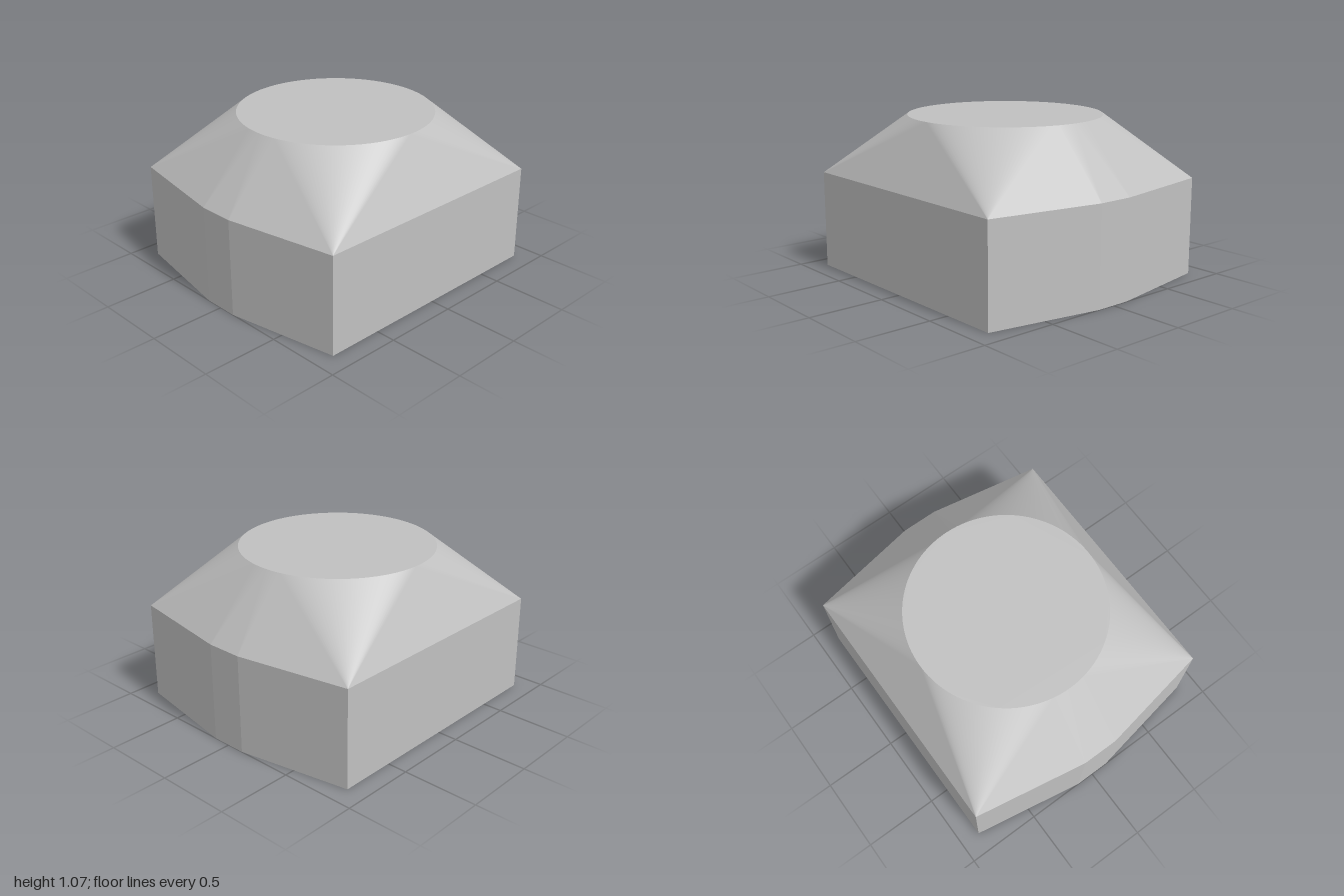
import * as THREE from 'three';

const BASE_TOP = 0.65, TOP = 1.065, RADIUS = 0.64, ARC_STEPS = 24;
const RISE = TOP - BASE_TOP;

// Footprint corners as (x, z)
const corners = [
  [1, 0.12], [0.868, 0.868], [-0.868, 0.868], [-1, 0.12],
  [-1, -0.12], [-0.868, -0.868], [0.868, -0.868], [1, -0.12],
].map(([x, z]) => new THREE.Vector2(x, z));

const at = (p, y) => new THREE.Vector3(p.x, y, p.y);
const dir = (a) => new THREE.Vector2(Math.cos(a), Math.sin(a));
const rim = (a) => at(dir(a).multiplyScalar(RADIUS), TOP);

// Outward angle of the footprint edge that starts at corner i
function edgeAngle(i) {
  const p = corners[(i + 8) % 8], q = corners[(i + 9) % 8];
  return Math.atan2(p.x - q.x, q.y - p.y);
}

// Normal of the plane through a corner that touches the rim at angle a
function slopeNormal(corner, a) {
  const n = dir(a);
  return new THREE.Vector3(n.x * RISE, n.dot(corner) - RADIUS, n.y * RISE).normalize();
}

function fromTriangles(points, normals) {
  const g = new THREE.BufferGeometry().setFromPoints(points);
  if (normals) g.setAttribute('normal', new THREE.Float32BufferAttribute(normals.flatMap((n) => n.toArray()), 3));
  else g.computeVertexNormals();
  return g;
}

export function createModel() {
  const group = new THREE.Group();
  group.name = 'taperedBlock';
  const grey = new THREE.MeshStandardMaterial({ color: 0xc0c0c0 });
  grey.name = 'grey';
  const add = (name, geometry) => {
    const mesh = new THREE.Mesh(geometry, grey);
    mesh.name = name;
    group.add(mesh);
    return mesh;
  };

  const walls = [], slope = [], slopeNormals = [], ring = [];
  corners.forEach((c, i) => {
    const next = corners[(i + 1) % 8];
    const end = edgeAngle(i);
    let start = edgeAngle(i - 1);
    if (start > end) start -= Math.PI * 2;

    // Upright wall panel
    walls.push(at(next, 0), at(c, 0), at(c, BASE_TOP), at(next, 0), at(c, BASE_TOP), at(next, BASE_TOP));

    // Cone sector fanning from the corner to the round rim
    for (let k = 0; k < ARC_STEPS; k++) {
      const a = start + (end - start) * k / ARC_STEPS;
      const b = start + (end - start) * (k + 1) / ARC_STEPS;
      slope.push(at(c, BASE_TOP), rim(a), rim(b));
      slopeNormals.push(slopeNormal(c, (a + b) / 2), slopeNormal(c, a), slopeNormal(c, b));
      ring.push(new THREE.Vector2(RADIUS * Math.cos(a), -RADIUS * Math.sin(a)));
    }

    // Flat triangle rising from the footprint edge
    const n = slopeNormal(c, end);
    slope.push(at(next, BASE_TOP), at(c, BASE_TOP), rim(end));
    slopeNormals.push(n, n, n);
  });

  add('baseWalls', fromTriangles(walls));
  add('squareToRoundSlope', fromTriangles(slope, slopeNormals));

  // Closing faces
  add('roundTop', new THREE.ShapeGeometry(new THREE.Shape(ring)).rotateX(-Math.PI / 2)).position.y = TOP;
  add('underside', new THREE.ShapeGeometry(new THREE.Shape(corners)).rotateX(Math.PI / 2));
  return group;
}
